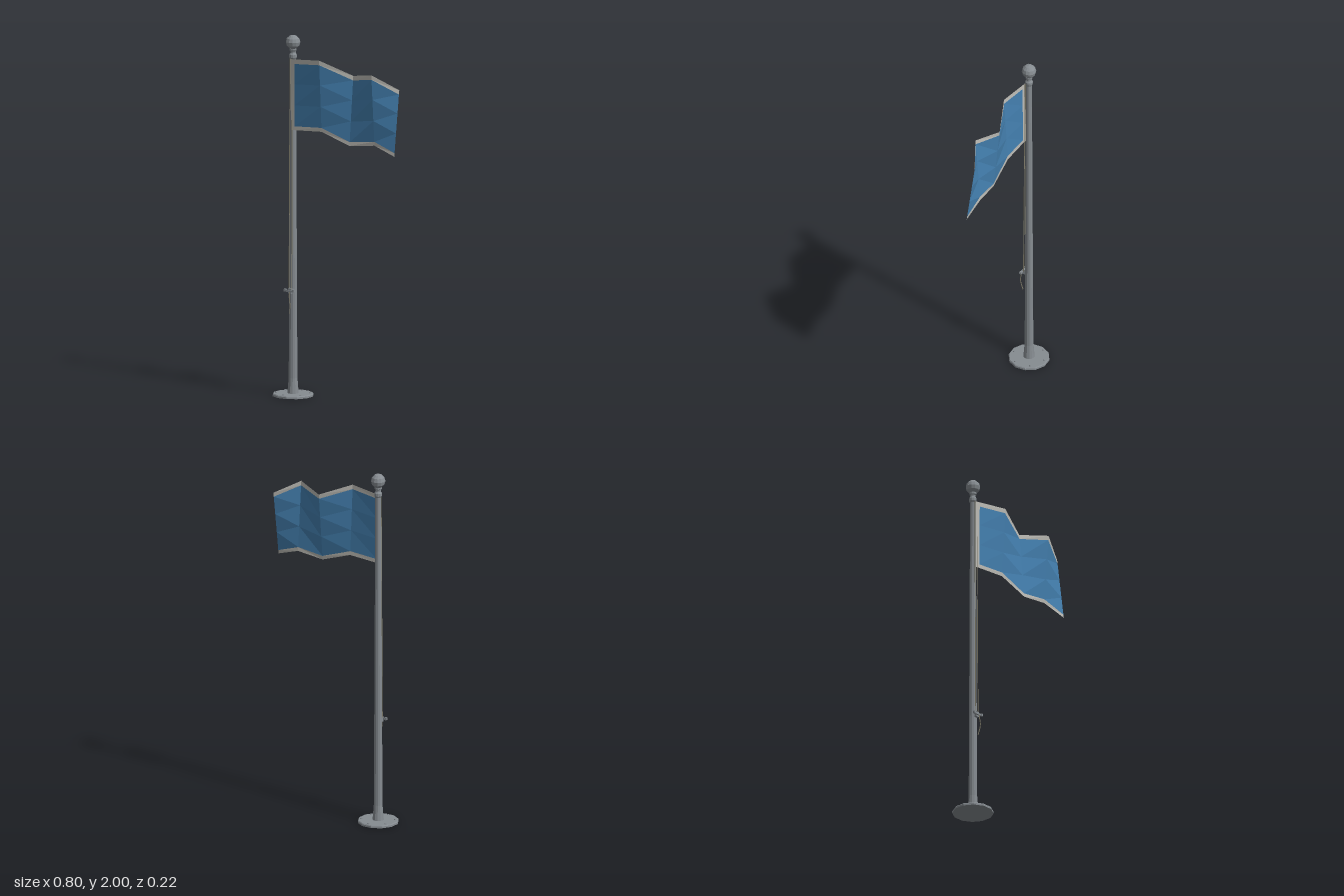
import * as THREE from 'three';

const mat = (name, color, side = THREE.FrontSide) =>
  new THREE.MeshStandardMaterial({ name, color, side, flatShading: true });

export function createModel() {
  const metal = mat('greyMetal', 0x868c91);
  const blue = mat('flagBlue', 0x4480b0, THREE.DoubleSide);
  const hem = mat('flagHem', 0xbdbcb6, THREE.DoubleSide);
  const cord = mat('cord', 0x85816f);

  const model = new THREE.Group();
  model.name = 'flagpole';
  const add = (parent, name, geometry, material, x = 0, y = 0, z = 0) => {
    const mesh = new THREE.Mesh(geometry, material);
    mesh.name = name;
    mesh.position.set(x, y, z);
    parent.add(mesh);
    return mesh;
  };
  const lathe = (points, sides) =>
    new THREE.LatheGeometry(points.map(([r, y]) => new THREE.Vector2(r, y)), sides);

  // Everything fixed to the pole is built around its axis
  const post = new THREE.Group();
  post.name = 'post';
  post.position.x = -0.29;
  model.add(post);

  // Twelve-sided base plate with a small bevel
  add(post, 'basePlate', lathe([[0, 0], [0.113, 0], [0.113, 0.01], [0.109, 0.015], [0, 0.015]], 12), metal)
    .rotation.y = Math.PI / 12;
  for (let i = 0; i < 6; i++) {
    const a = Math.PI / 2 + i * Math.PI / 3;
    add(post, 'bolt', new THREE.CylinderGeometry(0.005, 0.006, 0.006, 8), metal,
      0.092 * Math.cos(a), 0.017, 0.092 * Math.sin(a));
  }

  // Tapered pole with flared foot
  add(post, 'pole', lathe([[0.031, 0.014], [0.028, 0.05], [0.024, 0.1], [0.022, 0.5],
    [0.016, 1.88], [0, 1.88]], 12), metal);

  // Finial: collar, neck and ball
  add(post, 'collar', lathe([[0.016, 1.865], [0.021, 1.875], [0.021, 1.89], [0.015, 1.9],
    [0.015, 1.91], [0.02, 1.915], [0.02, 1.925], [0, 1.93]], 12), metal);
  add(post, 'ball', new THREE.SphereGeometry(0.04, 12, 6), metal, 0, 1.96, 0);

  // Cleat: foot on the pole and a crossbar with raised horns
  const cleat = new THREE.Group();
  cleat.name = 'cleat';
  cleat.position.set(0, 0.585, 0.03);
  post.add(cleat);
  add(cleat, 'cleatFoot', new THREE.BoxGeometry(0.02, 0.03, 0.02), metal, 0, 0, -0.005);
  add(cleat, 'cleatBar', new THREE.BoxGeometry(0.062, 0.01, 0.01), metal, 0, 0, 0.007);
  for (const s of [-1, 1])
    add(cleat, 'cleatHorn', new THREE.BoxGeometry(0.012, 0.013, 0.012), metal, s * 0.027, 0.003, 0.007);

  // Halyard lines and the loose end below the cleat
  const line = (name, points) => add(post, name, new THREE.TubeGeometry(
    new THREE.CatmullRomCurve3(points.map(p => new THREE.Vector3(...p))), 10, 0.0025, 5), cord);
  line('halyardLeft', [[0.01, 0.59, 0.028], [0.01, 1.2, 0.024], [0.008, 1.87, 0.02]]);
  line('halyardRight', [[-0.008, 0.59, 0.028], [-0.007, 1.2, 0.024], [-0.006, 1.87, 0.02]]);
  line('looseEnd', [[0.006, 0.59, 0.038], [0.004, 0.56, 0.045], [0.01, 0.52, 0.046], [0.002, 0.46, 0.036]]);

  // Flag columns: x, top y, top z, bottom y, bottom z
  const columns = [
    [-0.29, 1.868, 0.023, 1.475, 0.022], [-0.264, 1.87, 0.027, 1.477, 0.023],
    [-0.085, 1.885, 0.051, 1.487, 0.027], [0.097, 1.81, -0.012, 1.427, 0.025],
    [0.26, 1.84, 0.055, 1.445, 0.024], [0.4, 1.762, -0.01, 1.4, 0.039],
  ];
  const rows = [0, 0.065, 0.35, 0.65, 0.945, 1];
  const point = (c, t) => {
    const [x, yt, zt, yb, zb] = columns[c];
    return [x, yt + (yb - yt) * t, zt + (zb - zt) * t];
  };
  const cloth = (name, material, test) => {
    const pos = [];
    for (let c = 0; c < columns.length - 1; c++)
      for (let r = 0; r < rows.length - 1; r++) {
        const isHem = c === 0 || r === 0 || r === rows.length - 2;
        if (isHem !== test) continue;
        const a = point(c, rows[r]), b = point(c, rows[r + 1]);
        const d = point(c + 1, rows[r]), e = point(c + 1, rows[r + 1]);
        pos.push(...a, ...b, ...d, ...b, ...e, ...d);
      }
    const g = new THREE.BufferGeometry();
    g.setAttribute('position', new THREE.Float32BufferAttribute(pos, 3));
    g.computeVertexNormals();
    add(model, name, g, material);
  };
  cloth('flagField', blue, false);
  cloth('flagBorder', hem, true);

  return model;
}
